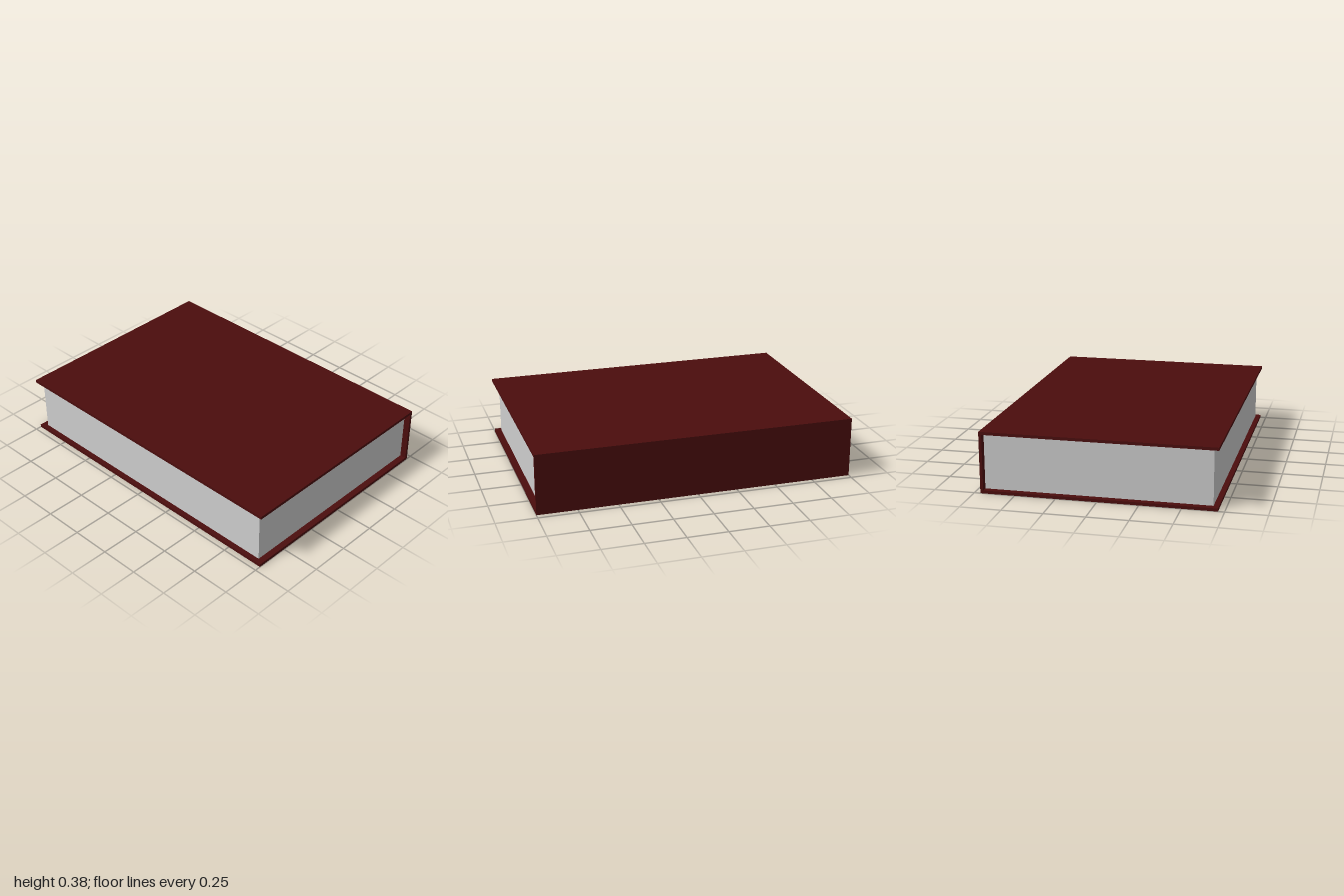
import * as THREE from 'three';

const WIDTH = 2, HEIGHT = 0.38, DEPTH = 1.424, BOARD = 0.018;

export function createModel() {
  const book = new THREE.Group();
  book.name = 'book';
  const cover = new THREE.MeshStandardMaterial({ name: 'dark red cover', color: 0x4b0d0d });
  const paper = new THREE.MeshStandardMaterial({ name: 'pale grey paper', color: 0xcecece });

  // A box placed by its centre height and depth
  const addBox = (name, material, w, h, d, y, z) => {
    const mesh = new THREE.Mesh(new THREE.BoxGeometry(w, h, d), material);
    mesh.name = name;
    mesh.position.set(0, y, z);
    book.add(mesh);
  };

  const back = -DEPTH / 2;
  const inner = HEIGHT - 2 * BOARD;

  // Hard cover: two boards joined by a flat spine at the back
  addBox('bottomCover', cover, WIDTH, BOARD, DEPTH, BOARD / 2, 0);
  addBox('topCover', cover, WIDTH, BOARD, DEPTH, HEIGHT - BOARD / 2, 0);
  addBox('spine', cover, WIDTH, inner, BOARD, HEIGHT / 2, back + BOARD / 2);

  // Page block, set in from the cover on three sides
  const pageBack = back + BOARD, pageFront = 0.68;
  addBox('pages', paper, 1.92, inner, pageFront - pageBack, HEIGHT / 2, (pageFront + pageBack) / 2);

  return book;
}
